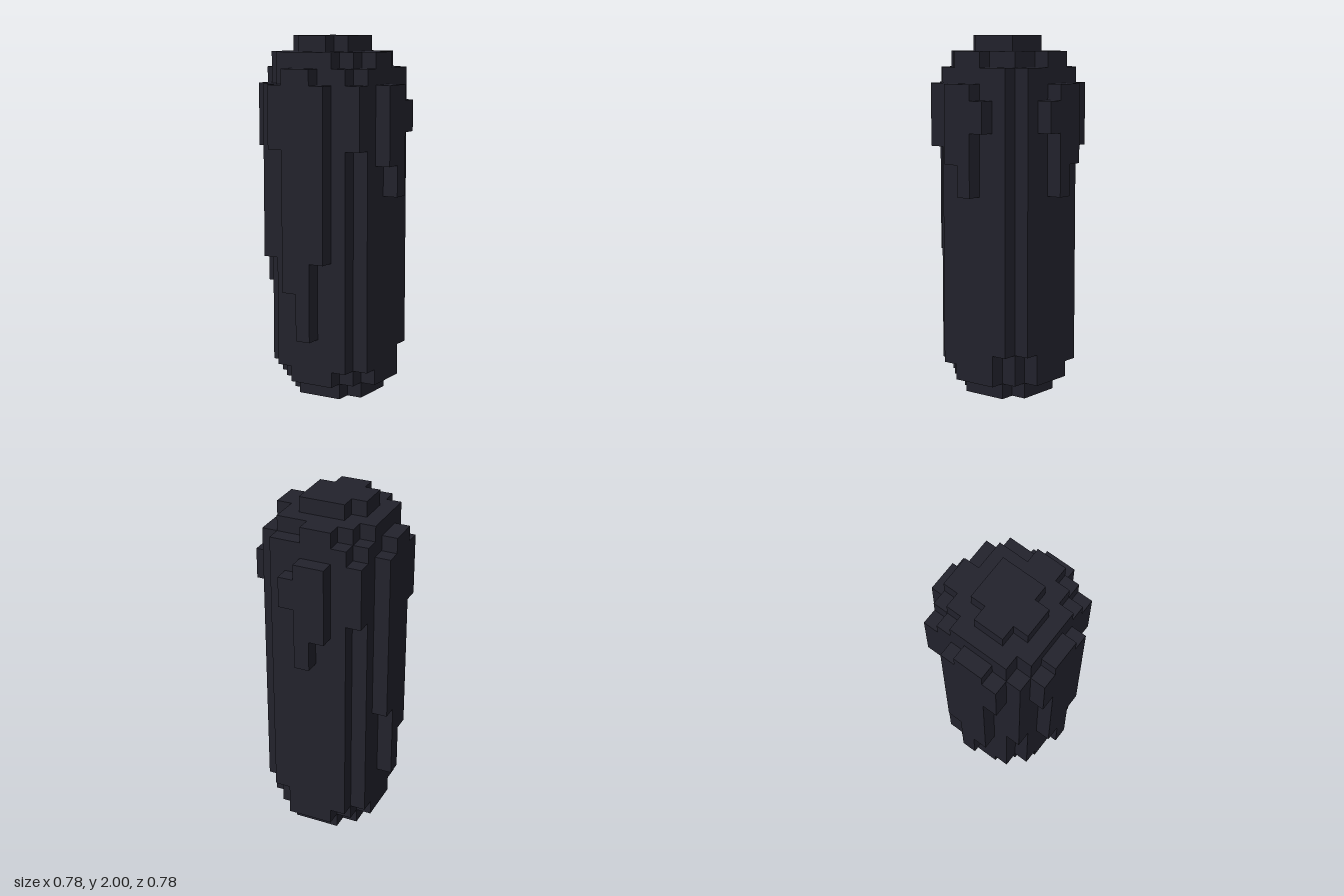
import * as THREE from 'three';

const U = 2 / 23; // edge of one block

// Stepped outline: rows[n] = [from, to] spans row (start + n)
function outline(start, rows, toPoint) {
  const ring = [];
  const add = (a, b) => {
    const p = toPoint(a, b);
    const last = ring[ring.length - 1];
    if (!last || !last.equals(p)) ring.push(p);
  };
  rows.forEach(([, to], n) => { add(to, start + n); add(to, start + n + 1); });
  for (let n = rows.length - 1; n >= 0; n--) {
    add(rows[n][0], start + n + 1);
    add(rows[n][0], start + n);
  }
  return new THREE.Shape(ring);
}

const extrude = (shape, depth) =>
  new THREE.ExtrudeGeometry(shape, { depth, bevelEnabled: false });

export function createModel() {
  const model = new THREE.Group();
  const charcoal = new THREE.MeshStandardMaterial({ color: 0x22222c });
  charcoal.name = 'charcoal';

  function place(name, geometry) {
    geometry.translate(-4.5, 0, -4.5).scale(U, U, U);
    const mesh = new THREE.Mesh(geometry, charcoal);
    mesh.name = name;
    model.add(mesh);
  }

  // Horizontal slab: x spans listed row by row from back to front
  function slab(name, y0, y1, startZ, rows) {
    const g = extrude(outline(startZ, rows, (x, z) => new THREE.Vector2(x, -z)), y1 - y0);
    place(name, g.rotateX(-Math.PI / 2).translate(0, y0, 0));
  }

  // Upright panels one block thick: height spans listed column by column
  const upright = (start, cols) =>
    extrude(outline(start, cols, (y, c) => new THREE.Vector2(c, y)), 1);
  const panelZ = (name, z, start, cols) =>
    place(name, upright(start, cols).translate(0, 0, z));
  const panelX = (name, x, start, cols) =>
    place(name, upright(start, cols).rotateY(-Math.PI / 2).translate(x + 1, 0, 0));

  // Rounded foot
  slab('base', 0, 1, 2, [[3, 6], [2, 7], [2, 7], [2, 7], [3, 6]]);
  slab('lowerStep', 1, 2, 1, [[3, 6], [2, 7], [1, 8], [1, 8], [1, 8], [2, 7], [3, 6]]);
  slab('notchedStep', 2, 3, 1, [[2, 6], [1, 7], [1, 8], [1, 8], [1, 8], [1, 8], [2, 7]]);

  // Main column
  slab('body', 3, 21, 1, [[2, 7], [1, 8], [1, 8], [1, 8], [1, 8], [1, 8], [2, 7]]);

  // Stepped crown
  slab('shoulder', 21, 22, 1, [[3, 5], [2, 7], [1, 7], [1, 8], [1, 8], [1, 7], [2, 6]]);
  slab('cap', 22, 23, 3, [[3, 6], [2, 6], [2, 6], [3, 5]]);

  // Posts filling three corners of the column: x, z, bottom
  [[7, 7, 16], [1, 1, 16], [1, 7, 9]].forEach(([x, z, y]) =>
    slab('cornerPost', y, 20, z, [[x, x + 1]]));

  // Long drips on the front and right sides
  const longDrip = [[16, 20], [7, 21], [4, 21], [9, 20]];
  panelZ('frontDrip', 8, 2, longDrip);
  panelX('rightDrip', 0, 3, [...longDrip].reverse());

  // Short drips on the back and left sides
  const shortDrip = [[15, 20], [13, 20], [17, 19]];
  panelZ('backDrip', 0, 3, shortDrip);
  panelX('leftDrip', 8, 3, [...shortDrip].reverse());

  return model;
}
